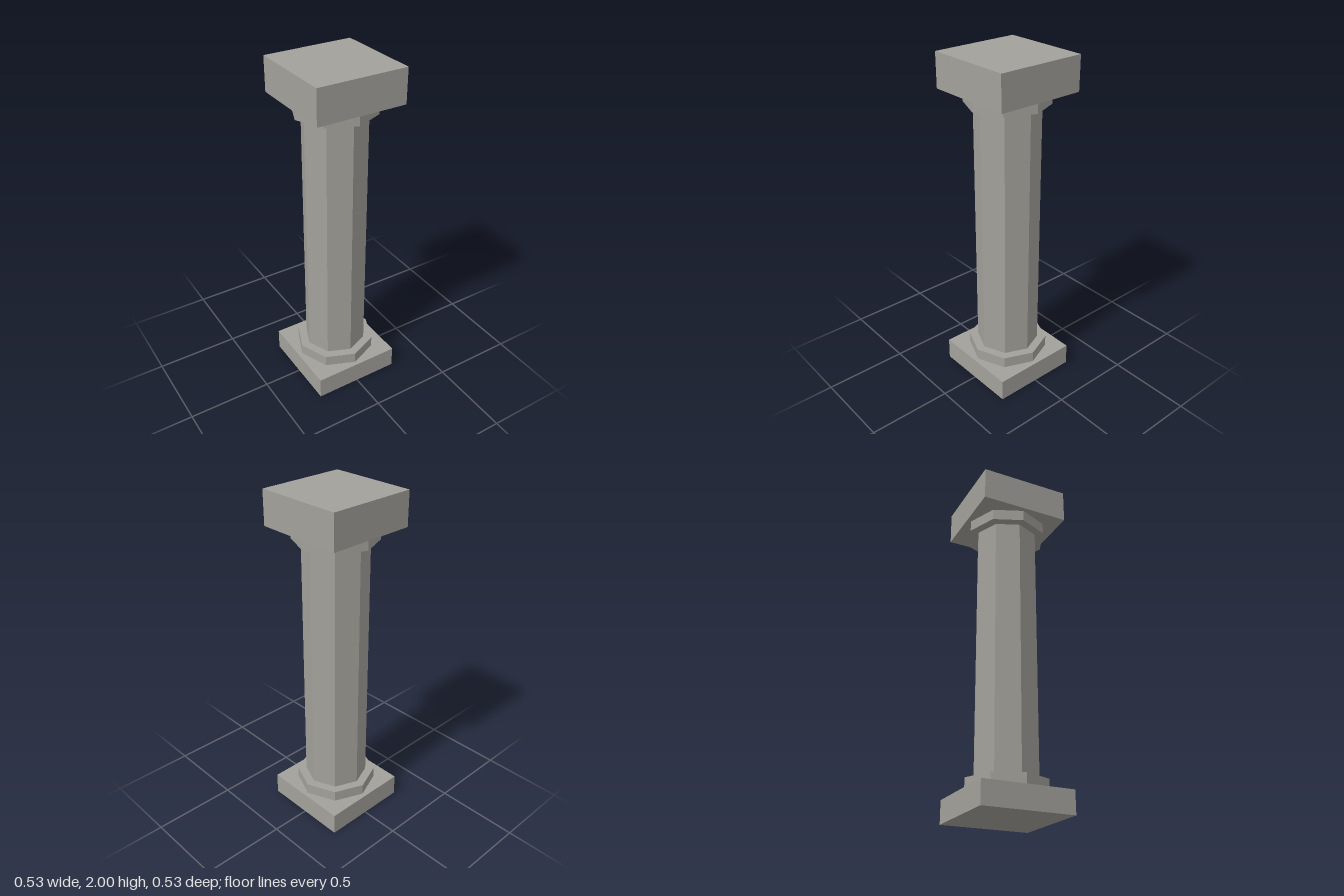
import * as THREE from 'three';

export function createModel() {
  const model = new THREE.Group();
  model.name = 'column';

  const stone = new THREE.MeshStandardMaterial({ color: 0xa3a19b, flatShading: true });
  stone.name = 'stone';

  // Adds a part spanning the heights y0 to y1
  const add = (name, y0, y1, makeGeometry) => {
    const mesh = new THREE.Mesh(makeGeometry(y1 - y0), stone);
    mesh.name = name;
    mesh.position.y = (y0 + y1) / 2;
    model.add(mesh);
  };
  const slab = (width) => (h) => new THREE.BoxGeometry(width, h, width);
  const octagon = (radius) => (h) => new THREE.CylinderGeometry(radius, radius, h, 8);

  // Square foot and collar, octagonal shaft, collar and square capital
  add('plinth', 0, 0.133, slab(0.533));
  add('lowerCollar', 0.133, 0.2, octagon(0.24));
  add('shaft', 0.2, 1.733, octagon(0.187));
  add('upperCollar', 1.733, 1.8, octagon(0.24));
  add('capital', 1.8, 2, slab(0.533));

  return model;
}
